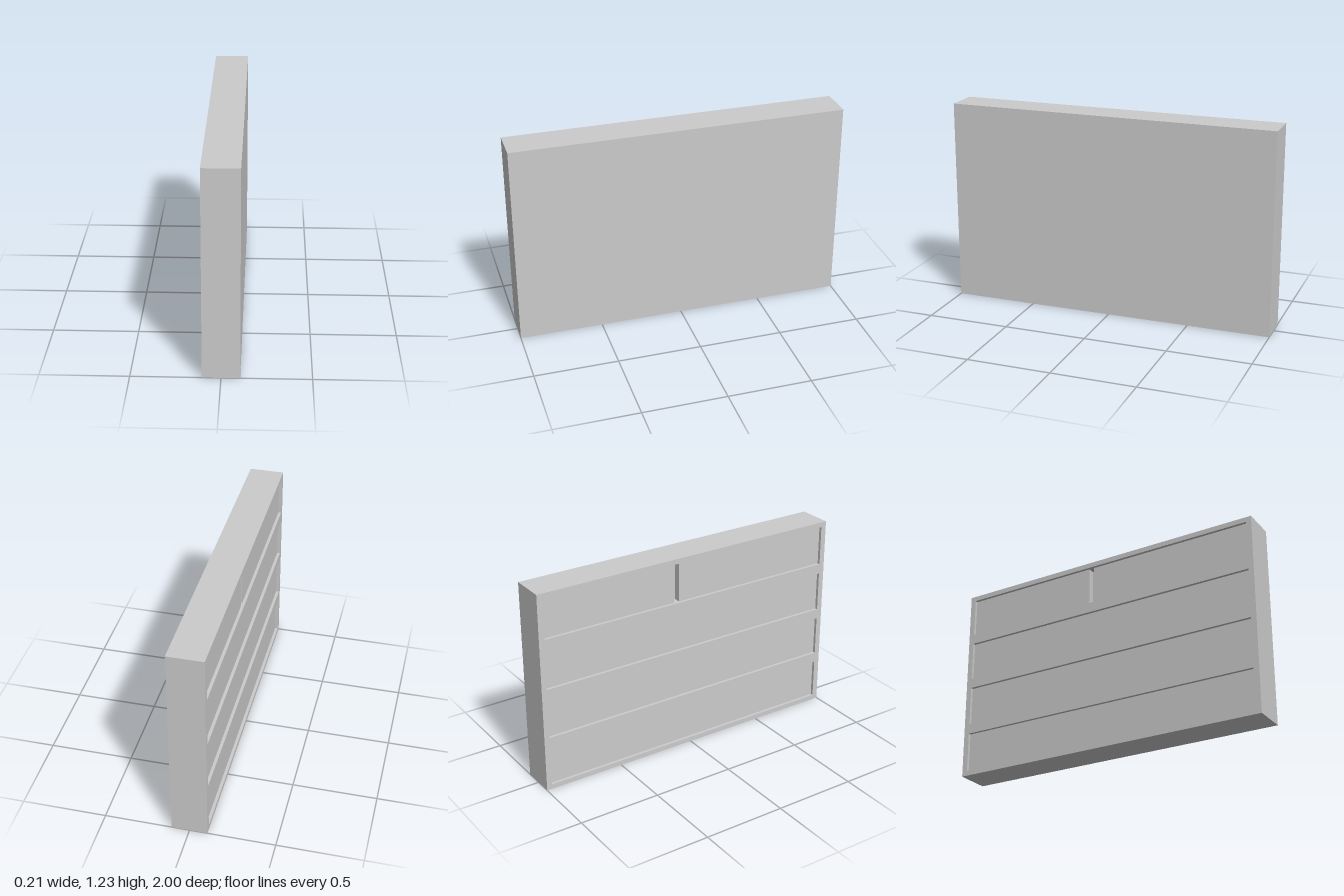
import * as THREE from 'three';

const W = 0.21, H = 1.23, L = 2;         // depth (x), height, length (z)
const FRAME = 0.06, RECESS = 0.018;      // frame thickness, drawer front setback
const END = 0.966;                       // half length of the drawer openings
const ROWS = 4, ROW_H = 0.245, PITCH = 0.308, SILL = 0.03;

const material = new THREE.MeshStandardMaterial({ color: 0xcccccc, flatShading: true });

function rect(PathType, z0, y0, z1, y1) {
  const p = new PathType();
  p.moveTo(z0, y0);
  p.lineTo(z1, y0);
  p.lineTo(z1, y1);
  p.lineTo(z0, y1);
  p.closePath();
  return p;
}

export function createModel() {
  const group = new THREE.Group();
  const add = (name, geometry, x, y, z) => {
    const mesh = new THREE.Mesh(geometry, material);
    mesh.name = name;
    mesh.position.set(x, y, z);
    group.add(mesh);
  };

  // Plain body behind the drawer fronts
  add('cabinetBody', new THREE.BoxGeometry(W - FRAME, H, L), FRAME / 2, H / 2, 0);

  // Frame with one opening per drawer row, facing -x
  const outline = rect(THREE.Shape, -L / 2, 0, L / 2, H);
  for (let i = 0; i < ROWS; i++) {
    const y = SILL + i * PITCH;
    outline.holes.push(rect(THREE.Path, -END, y, END, y + ROW_H));
  }
  const frame = new THREE.ExtrudeGeometry(outline, { depth: FRAME, bevelEnabled: false });
  frame.rotateY(-Math.PI / 2);
  add('drawerFrame', frame, -W / 2 + FRAME, 0, 0);

  // Recessed drawer fronts; the top row is split in two by a narrow gap
  const thick = FRAME - RECESS;
  for (let i = 0; i < ROWS; i++) {
    const spans = i === ROWS - 1 ? [[-END, -0.107], [-0.073, END]] : [[-END, END]];
    for (const [a, b] of spans) {
      add('drawerFront', new THREE.BoxGeometry(thick, ROW_H, b - a),
        -W / 2 + RECESS + thick / 2, SILL + i * PITCH + ROW_H / 2, (a + b) / 2);
    }
  }
  return group;
}
